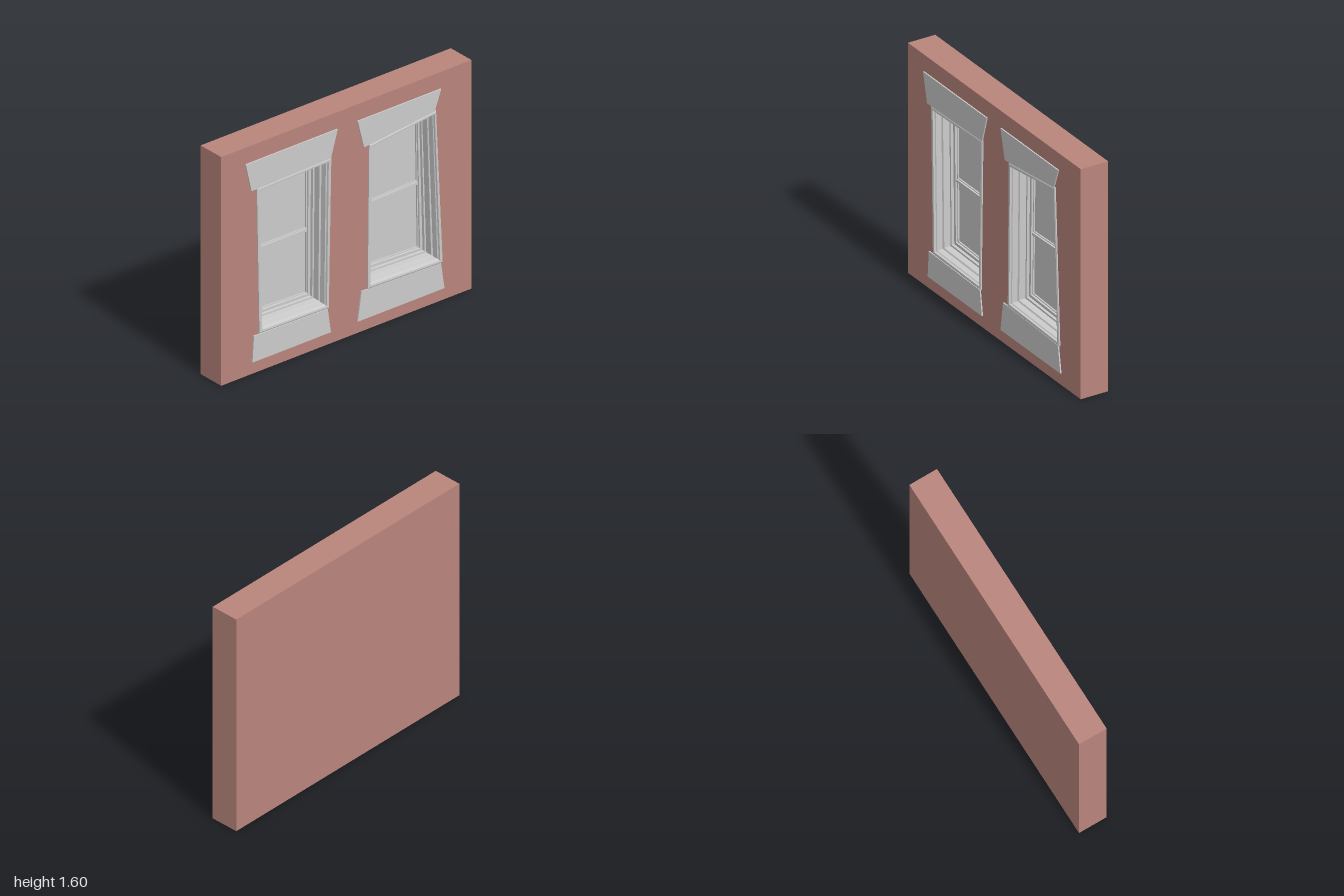
import * as THREE from 'three';

const BRICK = 0xb9857c;
const FRONT = 0.095, BACK = -0.105, GLASS = -0.04;

const material = (color) => new THREE.MeshStandardMaterial({ color, flatShading: true, side: THREE.DoubleSide });
const mix = (a, b, t) => [a[0] + (b[0] - a[0]) * t, a[1] + (b[1] - a[1]) * t];
const insetQuad = (outer, inner, t) => outer.map((p, i) => mix(p, inner[i], t));
const toPoints = (pts) => pts.map(([x, y]) => new THREE.Vector2(x, y));

function addMesh(parent, name, geometry, mat) {
  const mesh = new THREE.Mesh(geometry, mat);
  mesh.name = name;
  parent.add(mesh);
  return mesh;
}

// Flat outline pushed forward from z0 to z1
function slab(pts, z0, z1, holes = []) {
  const shape = new THREE.Shape(toPoints(pts));
  holes.forEach((h) => shape.holes.push(new THREE.Path(toPoints(h))));
  const geo = new THREE.ExtrudeGeometry(shape, { depth: z1 - z0, bevelEnabled: false });
  return geo.translate(0, 0, z0);
}

// Stepped moulding: four-cornered rings [inset, z] joined from the trim to the glass.
// Corners run clockwise from the top left.
function moulding(outer, inner, profile) {
  const pos = [];
  const rings = profile.map(([t, z]) => insetQuad(outer, inner, t).map(([x, y]) => [x, y, z]));
  for (let r = 0; r < rings.length - 1; r++) {
    for (let i = 0; i < 4; i++) {
      const j = (i + 1) % 4;
      const a = rings[r][i], b = rings[r][j], c = rings[r + 1][j], d = rings[r + 1][i];
      pos.push(...a, ...b, ...c, ...a, ...c, ...d);
    }
  }
  const geo = new THREE.BufferGeometry();
  geo.setAttribute('position', new THREE.Float32BufferAttribute(pos, 3));
  geo.computeVertexNormals();
  return geo;
}

// Cross-section of the frame: trim, jamb and sash steps
const PROFILE = [
  [0, 0.093], [0, 0.102], [0.1, 0.106], [0.24, 0.105], [0.27, 0.092], [0.34, 0.088],
  [0.38, 0.05], [0.5, 0.045], [0.52, 0.0], [0.66, 0.0], [0.68, -0.018],
  [0.9, -0.018], [0.92, -0.03], [1, -0.03], [1, GLASS],
];

// Corners: top left, top right, bottom right, bottom left
const WINDOWS = [
  {
    name: 'rightWindow',
    outer: [[-0.72, 1.287], [-0.125, 1.303], [-0.145, 0.257], [-0.7, 0.267]],
    glass: [[-0.626, 1.2], [-0.22, 1.21], [-0.22, 0.34], [-0.615, 0.353]],
    rail: [0.777, 0.777],
    lintel: [[-0.81, 1.485], [-0.075, 1.485], [-0.13, 1.3], [-0.72, 1.285], [-0.765, 1.285]],
    sill: [[-0.745, 0.264], [-0.155, 0.254], [-0.13, 0.083], [-0.757, 0.083]],
  },
  {
    name: 'leftWindow',
    outer: [[0.178, 1.289], [0.712, 1.347], [0.765, 0.267], [0.166, 0.284]],
    glass: [[0.262, 1.2], [0.658, 1.26], [0.674, 0.353], [0.25, 0.37]],
    rail: [0.793, 0.805],
    lintel: [[0.085, 1.485], [0.752, 1.485], [0.7, 1.345], [0.135, 1.285]],
    sill: [[0.115, 0.285], [0.75, 0.267], [0.778, 0.083], [0.085, 0.083]],
  },
];

function makeWindow({ name, outer, glass, rail, lintel, sill }, grey) {
  const group = new THREE.Group();
  group.name = name;
  addMesh(group, 'frame', moulding(outer, glass, PROFILE), grey);
  addMesh(group, 'glass', new THREE.ShapeGeometry(new THREE.Shape(toPoints(glass))).translate(0, 0, GLASS), grey);

  // Meeting rail between the two sashes, a thin step in front of a wider one
  const sideX = (top, bottom, y) => mix(top, bottom, (top[1] - y) / (top[1] - bottom[1]))[0];
  const xl = sideX(glass[0], glass[3], rail[0]), xr = sideX(glass[1], glass[2], rail[1]);
  [[0.014, -0.03], [0.008, -0.018]].forEach(([h, z], i) => {
    const pts = [[xl, rail[0] + h], [xr, rail[1] + h], [xr, rail[1] - h], [xl, rail[0] - h]];
    addMesh(group, i ? 'railFront' : 'railBack', slab(pts, GLASS, z), grey);
  });

  // Stone slabs above and below the opening
  addMesh(group, 'lintel', slab(lintel, FRONT - 0.005, 0.104), grey);
  addMesh(group, 'sill', slab(sill, FRONT - 0.005, 0.104), grey);
  return group;
}

export function createModel() {
  const model = new THREE.Group();
  model.name = 'wallWithWindows';
  const brick = material(BRICK), grey = material(0xcccccc);

  // Wall with crooked openings, closed behind by a solid back layer
  const rect = [[-1, 0], [1, 0], [1, 1.6], [-1, 1.6]];
  const openings = WINDOWS.map((w) => insetQuad(w.outer, w.glass, 0.12));
  addMesh(model, 'wall', slab(rect, -0.06, FRONT, openings), brick);
  addMesh(model, 'wallBack', slab(rect, BACK, -0.06), brick);

  WINDOWS.forEach((w) => model.add(makeWindow(w, grey)));
  return model;
}
